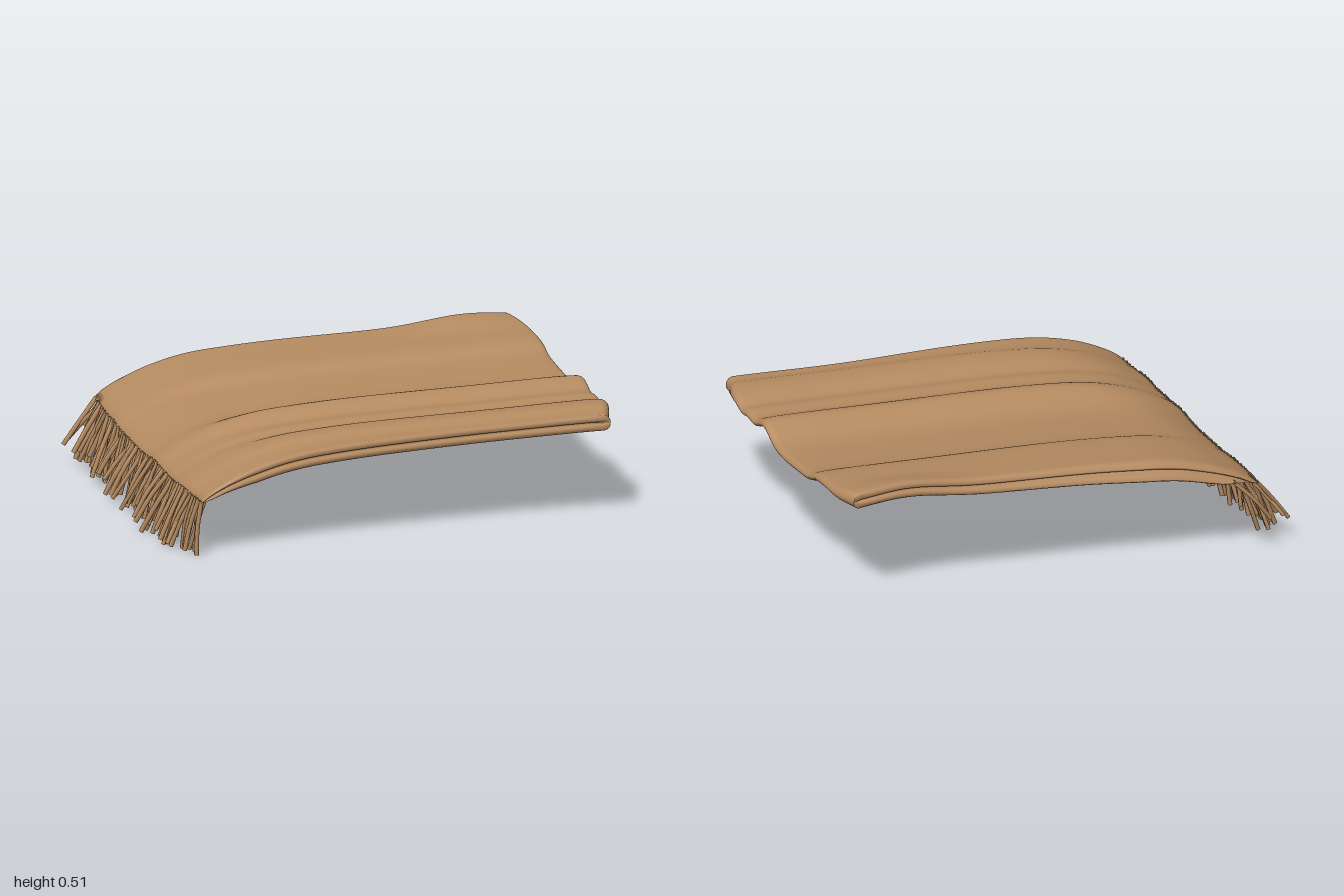
import * as THREE from 'three';
import { mergeGeometries } from 'three/addons/utils/BufferGeometryUtils.js';

// Smooth curve through [position, value] pairs, clamped at both ends
function smoothTable(pts) {
  const slope = (i) => {
    const a = pts[Math.max(0, i - 1)], b = pts[Math.min(pts.length - 1, i + 1)];
    return (b[1] - a[1]) / (b[0] - a[0]);
  };
  return (x) => {
    if (x <= pts[0][0]) return pts[0][1];
    for (let i = 0; i < pts.length - 1; i++) {
      const [x0, y0] = pts[i], [x1, y1] = pts[i + 1];
      if (x > x1) continue;
      const h = x1 - x0, t = (x - x0) / h, t2 = t * t, t3 = t2 * t;
      return (2 * t3 - 3 * t2 + 1) * y0 + (t3 - 2 * t2 + t) * h * slope(i)
        + (3 * t2 - 2 * t3) * y1 + (t3 - t2) * h * slope(i + 1);
    }
    return pts[pts.length - 1][1];
  };
}

// Small seeded random generator
function seeded(seed) {
  return () => {
    seed = (seed * 16807) % 2147483647;
    return seed / 2147483647;
  };
}

const { lerp, smoothstep } = THREE.MathUtils;

// Height along the length, and lengthwise folds across the width
const drape = smoothTable([[-0.84, 0.25], [-0.78, 0.287], [-0.7, 0.328], [-0.6, 0.365], [-0.45, 0.397],
  [-0.25, 0.417], [0, 0.43], [0.5, 0.442], [0.9, 0.452], [1, 0.448]]);
const folds = smoothTable([[-0.78, 0.03], [-0.7, 0.036], [-0.6, 0.03], [-0.42, 0.02], [-0.36, 0.01],
  [-0.29, -0.014], [-0.15, -0.028], [0, -0.036], [0.09, -0.025], [0.2, 0.018], [0.25, 0.012], [0.32, -0.012],
  [0.4, -0.008], [0.46, -0.016], [0.54, 0.006], [0.63, 0.012], [0.7, -0.004], [0.83, -0.004]]);
// Outline of the front edge, the upper back edge and the lower back edge
const frontEdge = smoothTable([[-0.84, 0.83], [-0.5, 0.81], [0, 0.775], [0.45, 0.745], [1, 0.75]]);
const backTop = smoothTable([[-0.84, -0.7], [-0.6, -0.705], [0, -0.695], [0.6, -0.69], [0.96, -0.72]]);
const backLow = smoothTable([[-0.84, -0.785], [-0.6, -0.765], [-0.3, -0.76], [0, -0.735], [0.6, -0.7], [0.96, -0.715]]);

// Point on the folded cloth: u = length, s = front to back, f = upper (0) to lower (1) layer
function clothPoint(u, s, f, out = 0) {
  const zn = lerp(0.8, -0.74, s);
  const side = smoothstep(Math.abs(zn), 0.5, 0.8);
  let left = -0.84 + 0.02 * f + 0.015 * side;
  left += 0.11 * f * smoothstep(-zn, 0.6, 0.74);
  const right = 0.992 - 0.045 * side * side;
  const x = lerp(left, right, u);
  const z = lerp(frontEdge(x), lerp(backTop(x), backLow(x), f), s) + out * (s < 0.5 ? 1 : -1);
  const spread = 0.3 + 0.7 * smoothstep(x, -0.75, -0.35);
  let top = drape(x) + folds(z) * spread;
  top -= z * 0.022 * (1 - smoothstep(x, -0.8, -0.3));
  top += 0.026 * Math.exp(-(((x - 0.72) / 0.22) ** 2)) * smoothstep(-z, 0.5, 0.7);
  // Layers meet at the hem and round over at the folded end
  const edge = smoothstep(Math.abs(zn), 0.5, 0.76);
  let thick = (0.036 + 0.03 * edge) * (0.45 + 0.55 * smoothstep(x, -0.84, -0.55));
  const fromFold = Math.min(1, (right - x) / 0.03);
  const round = Math.sqrt(1 - (1 - fromFold) ** 2);
  const hem = 0.35 + 0.65 * smoothstep(x - left, 0, 0.04);
  const y = top - thick / 2 + (0.5 - f) * thick * round * hem;
  return new THREE.Vector3(x, y, z);
}

function clothGeometry() {
  // Cross-section loop: upper layer, back lips, lower layer, front lips
  const ring = [], n = 90;
  const lips = [[0.1, 0.008], [0.3, 0.01], [0.42, 0.003], [0.5, -0.018], [0.58, 0.003], [0.7, 0.01], [0.9, 0.008]];
  for (let i = 0; i <= n; i++) ring.push([i / n, 0, 0]);
  for (const [f, o] of lips) ring.push([1, f, o]);
  for (let i = n; i >= 0; i--) ring.push([i / n, 1, 0]);
  for (const [f, o] of [...lips].reverse()) ring.push([0, f, o]);

  // Stations along the length, closer together at the fold
  const stations = [];
  for (let i = 0; i <= 60; i++) stations.push((i / 60) * 0.982);
  for (let i = 1; i <= 8; i++) stations.push(0.982 + 0.018 * Math.sin((i / 8) * Math.PI / 2));

  const pos = [], index = [], m = ring.length;
  for (const u of stations) {
    for (const [s, f, o] of ring) pos.push(...clothPoint(u, s, f, o * Math.min(1, (1 - u) * 25)).toArray());
  }
  for (let j = 0; j < stations.length - 1; j++) {
    for (let i = 0; i < m; i++) {
      const a = j * m + i, b = j * m + (i + 1) % m;
      index.push(a, a + m, b, b, a + m, b + m);
    }
  }
  // Close the hem between the two layers
  for (let i = 0; i < n; i++) {
    const low = 2 * n + 1 + lips.length - i;
    index.push(i, i + 1, low, i + 1, low - 1, low);
  }
  const geo = new THREE.BufferGeometry();
  geo.setAttribute('position', new THREE.Float32BufferAttribute(pos, 3));
  geo.setIndex(index);
  geo.computeVertexNormals();
  return geo;
}

// One row of loose tassels hanging from a hem
function fringeGeometry(layer, count, seed) {
  const rand = seeded(seed), strands = [];
  for (let i = 0; i < count; i++) {
    const s = THREE.MathUtils.clamp((i + 0.5 + (rand() - 0.5) * 0.7) / count, 0.005, 0.995);
    const start = clothPoint(0.004, s, layer);
    const length = 0.215 + rand() * 0.045;
    const dx = -(0.03 + 0.1 * rand()) * (s < 0.06 ? 0.5 : 1) - (s > 0.97 ? 0.05 : 0);
    const dz = -0.012 + (rand() - 0.5) * 0.09 * (rand() < 0.3 ? 1.6 : 0.7);
    const tip = start.clone();
    tip.x = Math.max(-0.99, start.x + dx);
    tip.z += dz;
    tip.y = Math.max(0.008, start.y - Math.sqrt(length * length - dx * dx - dz * dz));
    const mid = start.clone().lerp(tip, 0.5);
    mid.x -= 0.012 * rand();
    mid.z += (rand() - 0.5) * 0.02;
    const curve = new THREE.CatmullRomCurve3([start, mid, tip]);
    strands.push(new THREE.TubeGeometry(curve, 5, 0.0085 + 0.002 * rand(), 6, false));
  }
  return mergeGeometries(strands);
}

export function createModel() {
  const group = new THREE.Group();
  group.name = 'foldedBlanket';
  const wool = new THREE.MeshStandardMaterial({ color: 0xb58b61, side: THREE.DoubleSide });
  wool.name = 'tan wool';
  const add = (name, geo) => {
    const mesh = new THREE.Mesh(geo, wool);
    mesh.name = name;
    group.add(mesh);
  };
  add('foldedCloth', clothGeometry());
  add('upperFringe', fringeGeometry(0, 50, 4177));
  add('lowerFringe', fringeGeometry(1, 48, 90211));
  return group;
}
